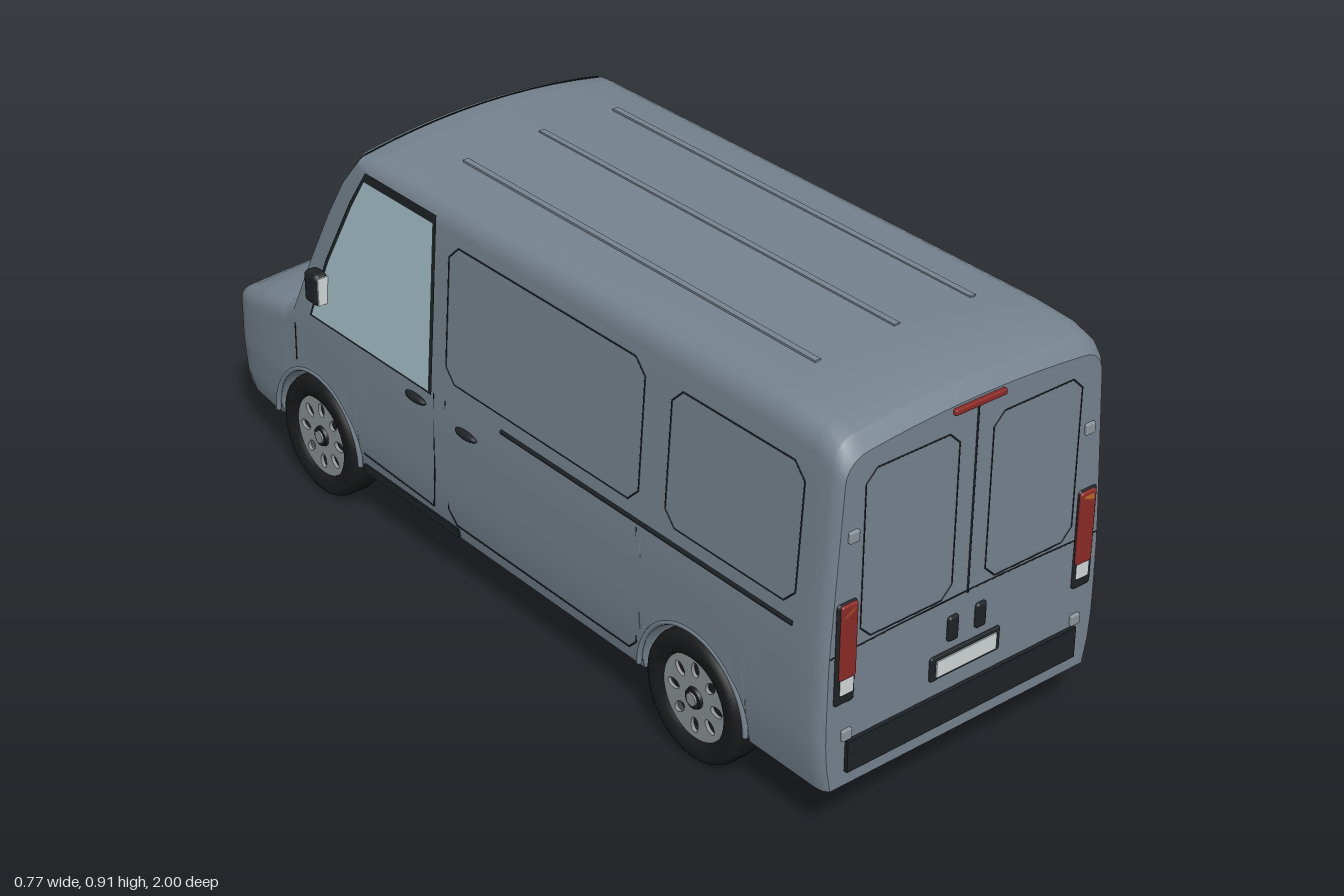
import * as THREE from 'three';
import { toCreasedNormals } from 'three/addons/utils/BufferGeometryUtils.js';
import { RoundedBoxGeometry } from 'three/addons/geometries/RoundedBoxGeometry.js';

const mat = (color, side = THREE.FrontSide) => new THREE.MeshStandardMaterial({ color, side });
const paint = mat(0x75828e), black = mat(0x1d2226), glass = mat(0xa5c0c8, THREE.DoubleSide);
const trim = mat(0x1d2226, THREE.DoubleSide), red = mat(0x8a2a26), orange = mat(0xb86a20);
const white = mat(0xd0d6d6), alloy = mat(0x8a9094), steel = mat(0x8b959c), rubber = mat(0x191a1b);

// Piecewise linear lookup in a list of [position, value]
function lookup(table, t) {
  if (t <= table[0][0]) return table[0][1];
  for (let i = 1; i < table.length; i++) {
    const [a, va] = table[i - 1], [b, vb] = table[i];
    if (t <= b) return va + (vb - va) * (t - a) / (b - a);
  }
  return table[table.length - 1][1];
}

// Rules of the body shell
const TOP = [[-0.992, 0.36], [-0.975, 0.385], [-0.94, 0.405], [-0.88, 0.432], [-0.8, 0.455], [-0.725, 0.468],
  [-0.66, 0.615], [-0.6, 0.74], [-0.55, 0.83], [-0.495, 0.9], [-0.45, 0.905], [0.82, 0.905], [0.92, 0.898], [0.965, 0.882], [0.99, 0.855]];
const WIDTH = [[0.12, 0.344], [0.16, 0.355], [0.25, 0.362], [0.42, 0.36], [0.82, 0.333], [0.9, 0.325]];
const TAPER = [[-0.992, 0.87], [-0.975, 0.93], [-0.94, 0.965], [-0.86, 0.99], [-0.78, 1], [0.96, 1], [0.98, 0.99], [0.99, 0.965]];
const CORNER = [[-0.992, 0.02], [-0.9, 0.045], [-0.76, 0.04], [-0.72, 0.015], [-0.5, 0.02], [-0.44, 0.055], [0.99, 0.055]];
const CROWN = [[-0.992, 0.012], [-0.8, 0.025], [-0.5, 0.03], [-0.42, 0.015], [0.99, 0.015]];
const AXLES = [-0.652, 0.62], WHEEL_Y = 0.142, ARCH = 0.157, FLOOR = 0.125;

function bottomY(z) {
  const d = Math.min(...AXLES.map(a => Math.abs(z - a)));
  return d < ARCH ? WHEEL_Y + Math.sqrt(ARCH * ARCH - d * d) : FLOOR;
}
const sideX = (y, z) => lookup(WIDTH, y) * lookup(TAPER, z);
function shoulder(z) {
  const r = lookup(CORNER, z), y = lookup(TOP, z) - lookup(CROWN, z) - r;
  return { r, y, x: sideX(y, z) - r };
}
const topY = (x, z) => lookup(TOP, z) - lookup(CROWN, z) * (x / shoulder(z).x) ** 2;

// Half of a cross-section, from floor centre to roof centre
function halfSection(z) {
  const pts = [], b = bottomY(z), s = shoulder(z);
  for (const f of [0, 0.5, 0.95]) pts.push([f * sideX(b, z), b]);
  for (let i = 0; i <= 12; i++) {
    const y = b + (s.y - b) * i / 12;
    pts.push([sideX(y, z), y]);
  }
  for (let i = 1; i <= 5; i++) {
    const a = i / 5 * Math.PI / 2;
    pts.push([s.x + s.r * Math.cos(a), s.y + s.r * Math.sin(a)]);
  }
  for (const f of [0.8, 0.6, 0.4, 0.2, 0]) pts.push([f * s.x, topY(f * s.x, z)]);
  return pts;
}

function bodyGeometry() {
  let zs = TOP.concat(TAPER, CORNER).map(p => p[0]);
  for (let i = 0; i <= 20; i++) zs.push(-0.725 + 0.23 * i / 20);
  for (const a of AXLES) {
    for (let i = 0; i <= 28; i++) zs.push(a + ARCH * Math.cos(i / 28 * Math.PI));
    zs.push(a - ARCH - 0.001, a + ARCH + 0.001);
  }
  zs = zs.sort((a, b) => a - b).filter((z, i, l) => i === 0 || z - l[i - 1] > 0.0004);
  const pos = [], idx = [];
  let n = 0;
  for (const z of zs) {
    const half = halfSection(z);
    const ring = half.concat(half.slice(1, -1).reverse().map(([x, y]) => [-x, y]));
    n = ring.length;
    for (const [x, y] of ring) pos.push(x, y, z);
  }
  const last = (zs.length - 1) * n, c = zs.length * n;
  pos.push(0, 0.25, zs[0], 0, 0.5, zs[zs.length - 1]);
  for (let j = 0; j < n; j++) {
    const k = (j + 1) % n;
    for (let i = 0; i < last; i += n) idx.push(i + j, i + k, i + n + k, i + j, i + n + k, i + n + j);
    idx.push(c, k, j, c + 1, last + j, last + k);
  }
  const g = new THREE.BufferGeometry();
  g.setAttribute('position', new THREE.Float32BufferAttribute(pos, 3));
  g.setIndex(idx);
  return toCreasedNormals(g, 0.6);
}

export function createModel() {
  const van = new THREE.Group();
  van.name = 'van';
  const add = (name, geo, m, x = 0, y = 0, z = 0, parent = van) => {
    const mesh = new THREE.Mesh(geo, m);
    mesh.name = name;
    mesh.position.set(x, y, z);
    parent.add(mesh);
    return mesh;
  };
  const box = (name, m, x, y, z, w, h, d, r = 0) =>
    add(name, r ? new RoundedBoxGeometry(w, h, d, 2, r) : new THREE.BoxGeometry(w, h, d), m, x, y, z);
  // Thin panel gap along a list of points
  const seam = (name, points, r = 0.0016) => {
    const g = new THREE.Group();
    g.name = name;
    const v = points.map(p => new THREE.Vector3(...p));
    for (let i = 1; i < v.length; i++) {
      const dir = v[i].clone().sub(v[i - 1]), mid = v[i].clone().add(v[i - 1]).multiplyScalar(0.5);
      const m = add(name, new THREE.CylinderGeometry(r, r, dir.length(), 5), black, mid.x, mid.y, mid.z, g);
      m.quaternion.setFromUnitVectors(new THREE.Vector3(0, 1, 0), dir.normalize());
    }
    van.add(g);
  };
  // Rectangle outline with cut corners
  const panel = (a0, a1, b0, b1, c) => [[a0 + c, b0], [a1 - c, b0], [a1, b0 + c], [a1, b1 - c], [a1 - c, b1], [a0 + c, b1], [a0, b1 - c], [a0, b0 + c], [a0 + c, b0]];
  // Flat [z, y] outline laid on the body side
  const sidePatch = (name, m, s, outline, off) => {
    const g = new THREE.ShapeGeometry(new THREE.Shape(outline.map(p => new THREE.Vector2(...p))));
    const p = g.attributes.position;
    for (let i = 0; i < p.count; i++) {
      const z = p.getX(i), y = p.getY(i);
      p.setXYZ(i, s * (sideX(y, z) + off), y, z);
    }
    g.computeVertexNormals();
    add(name, g, m);
  };
  // Sheet following the windscreen slope
  const screen = (name, m, z0, z1, f, off) => {
    const g = new THREE.PlaneGeometry(1, 1, 16, 20), p = g.attributes.position;
    for (let i = 0; i < p.count; i++) {
      const z = z0 + (z1 - z0) * (0.5 - p.getY(i)), x = -2 * p.getX(i) * f * shoulder(z).x;
      p.setXYZ(i, x, topY(x, z) + off * 0.5, z - off);
    }
    g.computeVertexNormals();
    add(name, g, m);
  };

  add('body', bodyGeometry(), paint);
  box('underfloor', paint, 0, 0.2, 0, 0.52, 0.15, 1.8);
  screen('windscreenFrame', trim, -0.492, -0.724, 1.0, 0.004);
  screen('windscreen', glass, -0.5, -0.716, 0.965, 0.009);
  for (const x of [-0.195, 0, 0.195]) box('roofRib', paint, x, topY(x, 0) + 0.001, 0.235, 0.014, 0.005, 1.07);

  // Sides
  for (const s of [1, -1]) {
    const line = (name, pts, r) => seam(name, pts.map(([z, y]) => [s * sideX(y, z), y, z]), r);
    sidePatch('windowTrim', trim, s, [[-0.214, 0.446], [-0.214, 0.85], [-0.462, 0.85], [-0.515, 0.765], [-0.6, 0.6], [-0.658, 0.446]], 0.003);
    sidePatch('sideWindow', glass, s, [[-0.22, 0.452], [-0.22, 0.832], [-0.462, 0.832], [-0.505, 0.76], [-0.588, 0.6], [-0.648, 0.452]], 0.006);
    line('sidePanelSeam', panel(-0.17, 0.45, 0.5, 0.805, 0.03));
    line('rearPanelSeam', panel(0.53, 0.9, 0.5, 0.79, 0.03));
    line('slidingDoorSeam', [[0.45, 0.45], [0.45, 0.185], [0.425, 0.16], [-0.145, 0.16], [-0.17, 0.19], [-0.17, 0.45]]);
    line('cabDoorSeam', [[-0.21, 0.45], [-0.21, 0.25], [-0.225, 0.17], [-0.48, 0.18]]);
    line('wingSeam', [[-0.72, 0.31], [-0.72, 0.4]]);
    line('doorRail', [[0.9, 0.465], [0.02, 0.465]], 0.005);
    for (const [z, y] of [[-0.095, 0.405], [-0.27, 0.415]]) {
      const h = add('doorHandle', new THREE.SphereGeometry(1, 16, 10), black, s * 0.361, y, z);
      h.scale.set(0.012, 0.01, 0.036);
    }
    box('sill', black, s * 0.347, 0.14, -0.315, 0.014, 0.02, 0.34);
    // Door mirror
    box('mirrorArm', black, s * 0.355, 0.525, -0.61, 0.04, 0.025, 0.03, 0.008);
    box('mirrorHousing', black, s * 0.368, 0.535, -0.615, 0.036, 0.076, 0.05, 0.012);
    box('mirrorGlass', white, s * 0.368, 0.535, -0.589, 0.028, 0.064, 0.004);
  }

  // Wheels and arch lips
  const tyre = new THREE.LatheGeometry([[0.093, -0.04], [0.125, -0.043], [0.137, -0.036], [0.142, -0.024], [0.142, 0.024],
    [0.137, 0.036], [0.125, 0.043], [0.097, 0.04], [0.092, 0.025], [0.092, -0.03], [0.093, -0.04]].map(p => new THREE.Vector2(...p)), 40);
  const disc = new THREE.Shape().absarc(0, 0, 0.094, 0, Math.PI * 2);
  for (let i = 0; i < 8; i++) {
    const a = i / 8 * Math.PI * 2;
    disc.holes.push(new THREE.Path().absellipse(0.064 * Math.cos(a), 0.064 * Math.sin(a), 0.017, 0.011, 0, Math.PI * 2, true, a));
  }
  const rim = new THREE.ExtrudeGeometry(disc, { depth: 0.008, bevelEnabled: false, curveSegments: 32 }).rotateX(-Math.PI / 2);
  for (const z of AXLES) for (const s of [1, -1]) {
    const w = new THREE.Group();
    w.name = 'wheel';
    w.position.set(s * 0.32, WHEEL_Y, z);
    w.rotation.z = -s * Math.PI / 2;
    van.add(w);
    add('tyre', tyre, rubber, 0, 0, 0, w);
    add('rim', rim, alloy, 0, 0.022, 0, w);
    add('wheelWell', new THREE.CylinderGeometry(0.092, 0.092, 0.03, 32), rubber, 0, -0.01, 0, w);
    add('hubRing', new THREE.CylinderGeometry(0.022, 0.026, 0.014, 24), rubber, 0, 0.03, 0, w);
    add('hubCap', new THREE.CylinderGeometry(0.014, 0.016, 0.02, 20), alloy, 0, 0.031, 0, w);
    add('archLip', new THREE.TorusGeometry(ARCH + 0.002, 0.006, 6, 32, Math.PI).rotateY(Math.PI / 2), paint, s * 0.359, WHEEL_Y, z);
  }

  // Rear doors
  const Z = 0.99;
  seam('doorGap', [[0, 0.84, Z], [0, 0.43, Z]], 0.0025);
  seam('waistSeam', [[-0.345, 0.427, Z], [-0.2, 0.432, Z], [0, 0.435, Z], [0.2, 0.432, Z], [0.345, 0.427, Z]]);
  box('brakeLight', red, 0, 0.843, Z, 0.13, 0.013, 0.018, 0.004);
  box('plateSurround', black, 0, 0.292, Z, 0.182, 0.054, 0.012, 0.005);
  box('rearPlate', white, 0, 0.292, 0.996, 0.156, 0.036, 0.006);
  box('rearBumper', black, 0, 0.193, Z, 0.6, 0.07, 0.018);
  for (const s of [1, -1]) {
    seam('rearDoorPanel', panel(0.043, 0.273, 0.44, 0.798, 0.026).map(([x, y]) => [s * x, y, Z]));
    box('rearHandle', black, s * 0.036, 0.367, Z, 0.027, 0.056, 0.016, 0.007);
    for (const y of [0.675, 0.243]) box('hinge', steel, s * 0.3, y, Z, 0.024, 0.024, 0.014, 0.003);
    box('lampSurround', black, s * 0.309, 0.428, 0.986, 0.05, 0.224, 0.02, 0.008);
    box('tailLamp', red, s * 0.307, 0.455, Z, 0.042, 0.164, 0.02, 0.006);
    box('rearIndicator', orange, s * 0.307, 0.52, 0.993, 0.034, 0.025, 0.014, 0.004);
    box('reversingLamp', white, s * 0.307, 0.358, 0.992, 0.034, 0.038, 0.014, 0.004);
  }

  // Nose
  const N = -0.99;
  box('frontBumper', black, 0, 0.2, N, 0.62, 0.066, 0.02, 0.006);
  box('frontPlate', white, 0, 0.185, -0.998, 0.13, 0.03, 0.004);
  box('grille', black, 0, 0.3, N, 0.37, 0.064, 0.014, 0.005);
  for (let i = 0; i < 4; i++) box('grilleSlat', steel, 0, 0.279 + i * 0.014, -0.997, 0.33, 0.003, 0.003);
  for (const s of [1, -1]) {
    box('headlamp', white, s * 0.235, 0.302, N, 0.085, 0.044, 0.014, 0.005);
    box('frontIndicator', orange, s * 0.265, 0.302, -0.993, 0.024, 0.028, 0.012, 0.003);
  }
  return van;
}
